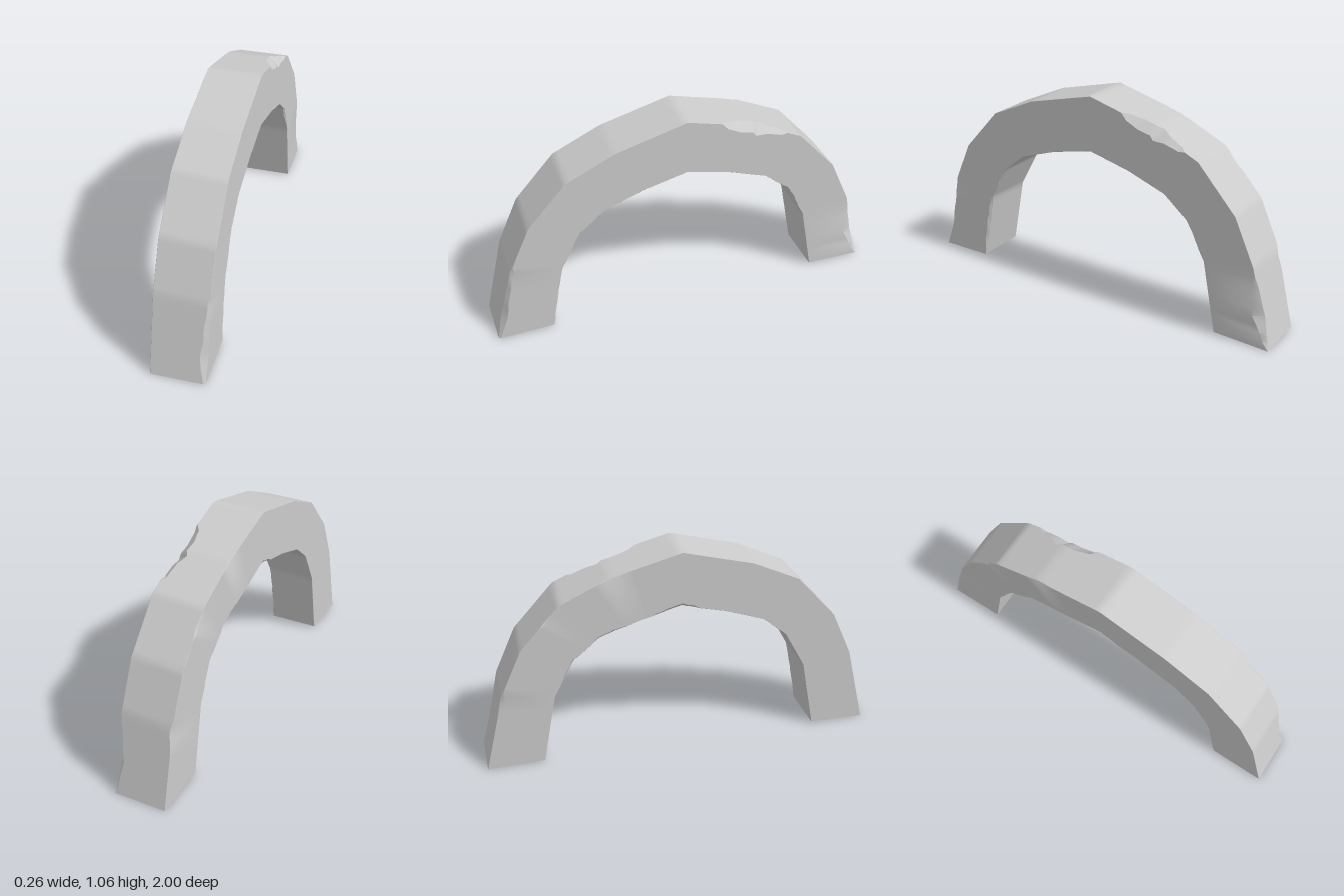
import * as THREE from 'three';
import { toCreasedNormals } from 'three/addons/utils/BufferGeometryUtils.js';

// half profile of the arch, foot to crown, as [z, y]
const OUTER = [[1, 0.004], [0.9, 0.41], [0.795, 0.64], [0.595, 0.86], [0.355, 0.97], [0, 1.062]];
const INNER = [[0.715, 0.01], [0.645, 0.37], [0.54, 0.56], [0.42, 0.66], [0.22, 0.73], [0, 0.782]];
const HALF_WIDTH = 0.132;
const STEPS = 10; // rings per profile segment

// worn edges: corner (0 outer +x, 1 outer -x, 2 inner -x, 3 inner +x),
// start and end along the arch (0 front foot, 5 crown, 10 back foot), bite across, bite inward
const CHIPS = [
  [0, -0.1, 0.95, 0.028, 0.022], [0, 0.7, 1.1, 0.012, 0.02],
  [0, 5.5, 6.7, 0.05, 0.045], [0, 9.15, 9.95, 0.028, 0.045],
  [1, 8.9, 9.25, 0.012, 0.02], [1, 7.1, 7.5, 0.008, 0.012], [1, 5.8, 6.2, 0.006, 0.01],
  [2, 4.6, 5.7, 0.015, 0.015], [2, 6.3, 7.2, 0.012, 0.012], [2, 7.8, 8.7, 0.012, 0.012],
  [3, 0.1, 1.05, 0.014, 0.014], [3, 1.4, 2.1, 0.008, 0.008], [3, 7.8, 8.7, 0.008, 0.01],
];

function seeded(seed) {
  return () => {
    seed = (seed * 16807) % 2147483647;
    return seed / 2147483647;
  };
}

const mirrored = (half) => [...half, ...half.slice(0, -1).reverse().map(([z, y]) => [-z, y])];

function along(points, t) {
  const i = Math.min(Math.floor(t), points.length - 2);
  return new THREE.Vector2(...points[i]).lerp(new THREE.Vector2(...points[i + 1]), t - i);
}

function archGeometry() {
  const random = seeded(41);
  const outer = mirrored(OUTER), inner = mirrored(INNER);
  const count = (outer.length - 1) * STEPS;
  const rings = [];

  // eight-point cross-sections: a rectangle with each corner cut back by its chips
  for (let j = 0; j <= count; j++) {
    const t = j / STEPS;
    const o = along(outer, t), n = along(inner, t);
    const depth = n.distanceTo(o);
    const cut = [0, 1, 2, 3].map(() => [0.0012, 0.0012]);
    for (const [corner, from, to, across, inward] of CHIPS) {
      const rough = 0.7 + 0.5 * random();
      if (t <= from || t >= to) continue;
      const bite = Math.sqrt(Math.sin(Math.PI * (t - from) / (to - from))) * rough;
      cut[corner][0] = Math.max(cut[corner][0], across * bite);
      cut[corner][1] = Math.max(cut[corner][1], inward * bite);
    }
    const point = (x, d) => {
      const p = o.clone().lerp(n, d / depth);
      return new THREE.Vector3(x, p.y, p.x);
    };
    const w = HALF_WIDTH;
    rings.push([
      point(w, cut[0][1]), point(w - cut[0][0], 0),
      point(cut[1][0] - w, 0), point(-w, cut[1][1]),
      point(-w, depth - cut[2][1]), point(cut[2][0] - w, depth),
      point(w - cut[3][0], depth), point(w, depth - cut[3][1]),
    ].map((v) => v.setX(v.x - 0.001)));
  }

  const positions = [];
  const tri = (...corners) => corners.forEach((v) => positions.push(v.x, v.y, v.z));
  // skin between neighbouring rings
  for (let j = 0; j < count; j++) {
    const a = rings[j], b = rings[j + 1];
    for (let i = 0; i < 8; i++) {
      const k = (i + 1) % 8;
      tri(a[i], b[i], b[k]);
      tri(a[i], b[k], a[k]);
    }
  }
  // flat feet
  const first = rings[0], last = rings[count];
  for (let i = 1; i < 7; i++) {
    tri(first[0], first[i], first[i + 1]);
    tri(last[0], last[i + 1], last[i]);
  }
  const geometry = new THREE.BufferGeometry();
  geometry.setAttribute('position', new THREE.Float32BufferAttribute(positions, 3));
  return toCreasedNormals(geometry, 0.6);
}

export function createModel() {
  const group = new THREE.Group();
  group.name = 'stoneArch';
  const arch = new THREE.Mesh(archGeometry(), new THREE.MeshStandardMaterial({ color: 0xcccccc }));
  arch.name = 'chippedArch';
  group.add(arch);
  return group;
}
